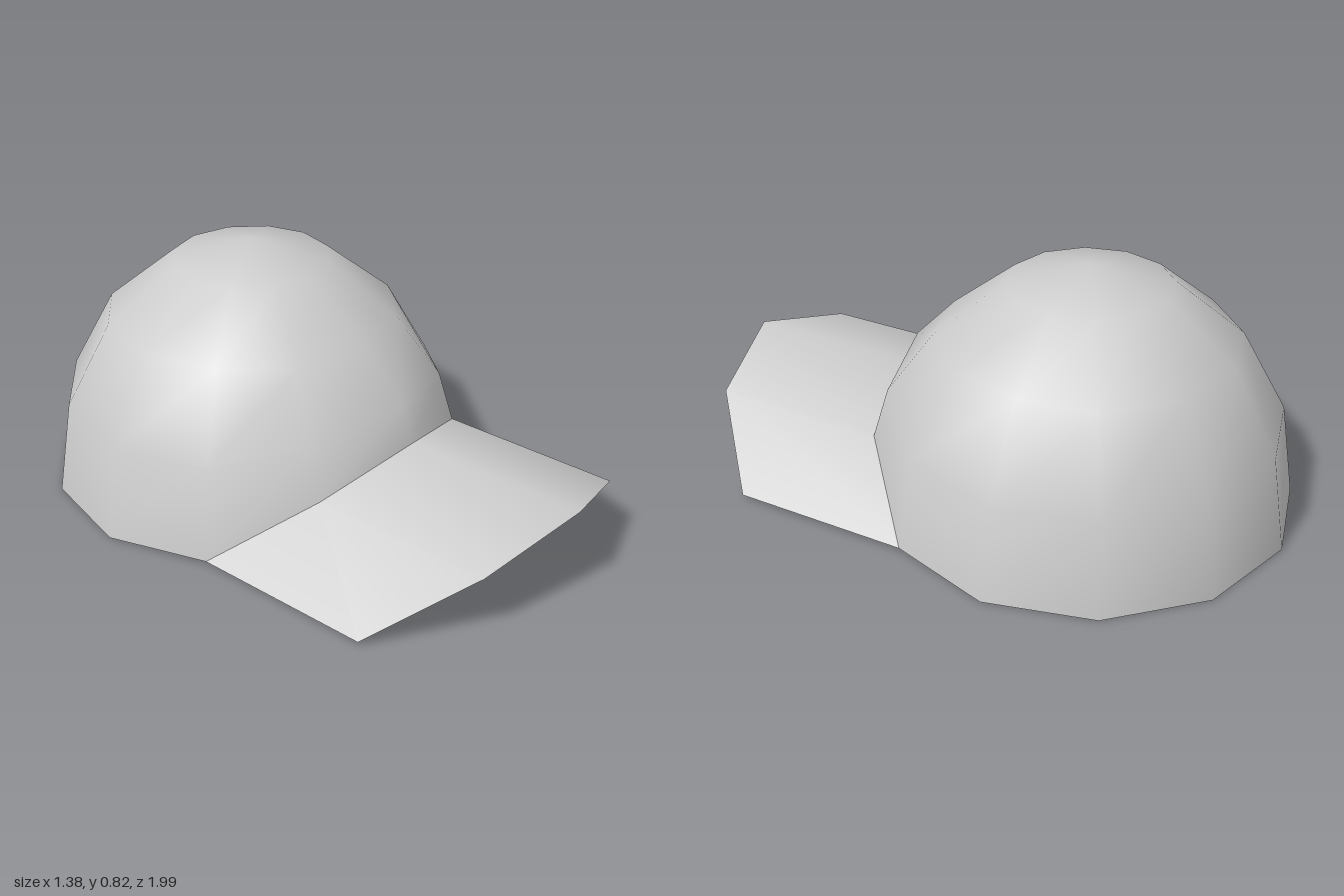
import * as THREE from 'three';
import { toCreasedNormals } from 'three/addons/utils/BufferGeometryUtils.js';

const CENTRE_Z = -0.305;
const STEP = Math.PI / 6; // twelve sides, column 0 at the front

// Skin neighbouring rows of points with quads, dropping collapsed triangles
function loft(rows, out) {
  const tri = (a, b, c) => {
    const area = b.clone().sub(a).cross(c.clone().sub(a)).length();
    if (area > 1e-7) for (const p of [a, b, c]) out.push(p.x, p.y, p.z);
  };
  for (let i = 0; i < rows.length - 1; i++) {
    for (let j = 0; j < rows[i].length - 1; j++) {
      const a = rows[i][j], b = rows[i][j + 1];
      const c = rows[i + 1][j + 1], d = rows[i + 1][j];
      tri(a, b, c);
      tri(a, c, d);
    }
  }
}

// Points of a ring from column k0 to k1; heights lists y by steps away from the front
function ring(radius, heights, k0, k1, shift = 0) {
  const points = [];
  for (let k = k0; k <= k1; k++) {
    const away = Math.min(Math.abs(k), 12 - Math.abs(k));
    const y = heights[Math.min(away, heights.length - 1)];
    points.push(new THREE.Vector3(
      radius * Math.sin(k * STEP), y, CENTRE_Z + shift + radius * Math.cos(k * STEP)));
  }
  return points;
}

function makeMesh(name, positions, material) {
  const geometry = new THREE.BufferGeometry();
  geometry.setAttribute('position', new THREE.Float32BufferAttribute(positions, 3));
  const mesh = new THREE.Mesh(toCreasedNormals(geometry, 0.8), material);
  mesh.name = name;
  return mesh;
}

export function createModel() {
  const group = new THREE.Group();
  group.name = 'cap';
  const material = new THREE.MeshStandardMaterial({ color: 0xcccccc });

  // Lower edges, arched over the forehead
  const outerEdge = [0.31, 0.217, 0.015, 0];
  const innerEdge = [0.295, 0.205, 0.02, 0];

  // Rings as [radius, heights], from the lower edge to the apex
  const outer = [
    [0.69, outerEdge], [0.64, [0.43, 0.385, 0.325, 0.315]],
    [0.49, [0.585]], [0.265, [0.765]], [0, [0.825]],
  ];
  const inner = [
    [0.64, innerEdge], [0.592, [0.41, 0.365, 0.305, 0.295]],
    [0.453, [0.547]], [0.245, [0.714]], [0, [0.77]],
  ];

  // Crown: outer and inner shells
  const crown = [];
  loft(outer.map(([r, h]) => ring(r, h, 0, 12)), crown);
  loft(inner.map(([r, h]) => ring(r, h, 0, 12)).reverse(), crown);
  group.add(makeMesh('crown', crown, material));

  // Rim closing the shells behind the brim
  const rim = [];
  loft([ring(0.64, innerEdge, 2, 10), ring(0.69, outerEdge, 2, 10)], rim);
  group.add(makeMesh('rim', rim, material));

  // Brim: the front of the lower edge pulled straight forward
  const brim = [];
  const reach = 0.613;
  const sections = [
    ring(0.64, innerEdge, -2, 2), ring(0.64, innerEdge, -2, 2, reach),
    ring(0.69, outerEdge, -2, 2, reach), ring(0.69, outerEdge, -2, 2),
  ];
  loft(sections, brim);
  // Narrow strips along both sides of the brim
  const [lowBack, lowFront, topFront, topBack] = sections;
  loft([[lowFront[4], lowBack[4]], [topFront[4], topBack[4]]], brim);
  loft([[lowBack[0], lowFront[0]], [topBack[0], topFront[0]]], brim);
  group.add(makeMesh('brim', brim, material));

  return group;
}
